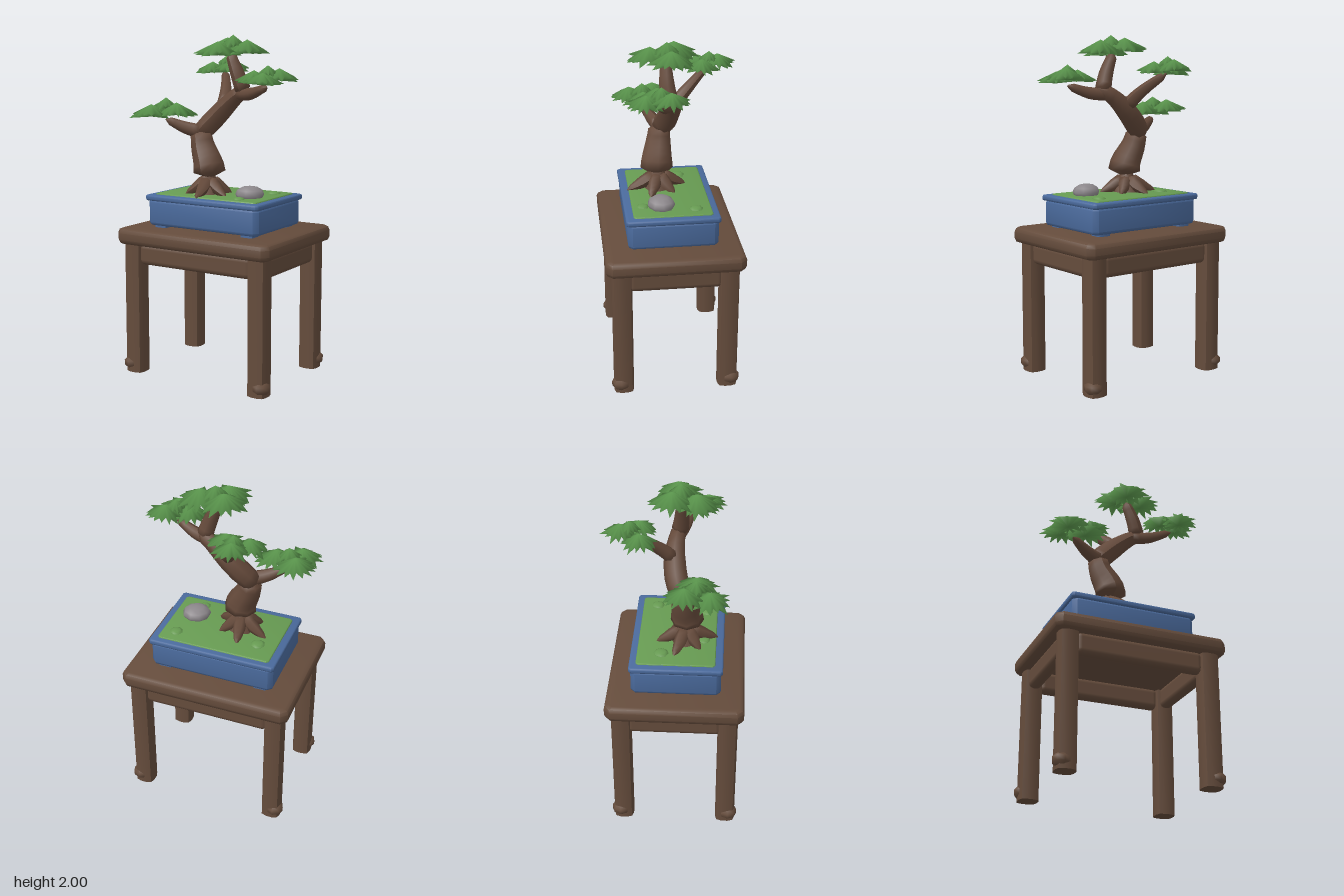
import * as THREE from 'three';
import { toCreasedNormals } from 'three/addons/utils/BufferGeometryUtils.js';
import { RoundedBoxGeometry } from 'three/addons/geometries/RoundedBoxGeometry.js';

const V = (x, y, z) => new THREE.Vector3(x, y, z);

function material(name, color) {
  const m = new THREE.MeshStandardMaterial({ color });
  m.name = name;
  return m;
}

// Small repeatable number generator
let seed = 7;
const rand = () => (seed = (seed * 16807) % 2147483647) / 2147483647;

// Upright slab with cut corners and bevelled edges, standing on y = 0
function slab(w, h, d, corner, bevel = 0, segments = 2) {
  const x = w / 2 - bevel, z = d / 2 - bevel, c = corner;
  const s = new THREE.Shape();
  s.moveTo(-x + c, -z).lineTo(x - c, -z).quadraticCurveTo(x, -z, x, -z + c);
  s.lineTo(x, z - c).quadraticCurveTo(x, z, x - c, z);
  s.lineTo(-x + c, z).quadraticCurveTo(-x, z, -x, z - c);
  s.lineTo(-x, -z + c).quadraticCurveTo(-x, -z, -x + c, -z);
  const g = new THREE.ExtrudeGeometry(s, {
    depth: h - 2 * bevel, curveSegments: segments, bevelEnabled: bevel > 0,
    bevelSize: bevel, bevelThickness: bevel, bevelSegments: 2,
  });
  g.translate(0, 0, bevel).rotateX(-Math.PI / 2);
  return toCreasedNormals(g, 0.85);
}

// Tapering tube: the radii are spread evenly along the path, ends closed
function limb(points, radii, segments = 8, sides = 8) {
  const curve = new THREE.CatmullRomCurve3(points);
  const g = new THREE.TubeGeometry(curve, segments, 1, sides);
  const pos = g.attributes.position, p = V(), c = V();
  for (let i = 0; i < pos.count; i++) {
    const ring = Math.floor(i / (sides + 1)), t = ring / segments;
    const f = t * (radii.length - 1), k = Math.min(Math.floor(f), radii.length - 2);
    const end = ring === 0 || ring === segments;
    const r = end ? 0.004 : THREE.MathUtils.lerp(radii[k], radii[k + 1], f - k);
    curve.getPointAt(t, c);
    p.fromBufferAttribute(pos, i).sub(c).multiplyScalar(r).add(c);
    pos.setXYZ(i, p.x, p.y, p.z);
  }
  g.computeVertexNormals();
  return g;
}

// Star-edged leaf cushion: domed top, drooping points, shallow underside
function leafCushion(radius, height, spikes = 14) {
  const n = spikes * 2, pts = [0, height, 0], idx = [];
  for (let i = 0; i < n; i++) {
    const tip = i % 2 === 0;
    const a = ((i + (rand() - 0.5) * 0.5) / n) * Math.PI * 2;
    const r = radius * (tip ? 0.88 + rand() * 0.22 : 0.64 + rand() * 0.08);
    const y = tip ? -0.005 - rand() * 0.025 : 0.004;
    pts.push(Math.cos(a) * r, y, Math.sin(a) * r);
    const p = 1 + i, q = 1 + ((i + 1) % n);
    idx.push(0, q, p, n + 1, p, q);
  }
  pts.push(0, -0.022, 0);
  const g = new THREE.BufferGeometry();
  g.setAttribute('position', new THREE.Float32BufferAttribute(pts, 3));
  g.setIndex(idx);
  g.computeVertexNormals();
  return g;
}

export function createModel() {
  seed = 7;
  const wood = material('table wood', 0x654c3c);
  const bark = material('bark', 0x64493a);
  const glaze = material('blue glaze', 0x4a6a9c);
  const moss = material('moss', 0x679b52);
  const leaf = material('leaves', 0x5d9a4f);
  const rock = material('stone', 0x8c878b);

  const model = new THREE.Group();
  model.name = 'bonsaiOnTable';
  const group = (name) => {
    const g = new THREE.Group();
    g.name = name;
    model.add(g);
    return g;
  };
  const add = (parent, name, geo, mat, x = 0, y = 0, z = 0) => {
    const m = new THREE.Mesh(geo, mat);
    m.name = name;
    m.position.set(x, y, z);
    parent.add(m);
    return m;
  };
  const corners = [[-1, -1], [1, -1], [-1, 1], [1, 1]];

  // Table
  const table = group('table');
  table.position.set(0.006, 0, 0.002);
  add(table, 'tableTop', slab(1.03, 0.095, 0.795, 0.02, 0.028, 1), wood, 0, 0.78, 0);
  for (const [sx, sz] of corners) {
    add(table, 'leg', slab(0.116, 0.79, 0.116, 0.04), wood, sx * 0.422, 0, sz * 0.307);
    const foot = add(table, 'footKnob', new THREE.SphereGeometry(0.056, 8, 5), wood, sx * 0.445, 0.052, sz * 0.325);
    foot.scale.y = 0.78;
  }
  for (const s of [-1, 1]) {
    add(table, 'longApron', new RoundedBoxGeometry(0.76, 0.13, 0.075, 2, 0.032), wood, 0, 0.725, s * 0.307);
    add(table, 'sideApron', new RoundedBoxGeometry(0.075, 0.13, 0.54, 2, 0.032), wood, s * 0.422, 0.725, 0);
  }

  // Pot
  const pot = group('pot');
  pot.position.set(0.005, 0, 0.005);
  add(pot, 'potBody', slab(0.75, 0.155, 0.515, 0.015, 0.018, 1), glaze, 0, 0.887, 0);
  add(pot, 'potRim', slab(0.77, 0.034, 0.535, 0.008, 0.01, 1), glaze, 0, 1.034, 0);
  for (const [sx, sz] of corners) {
    add(pot, 'potFoot', slab(0.08, 0.022, 0.08, 0.012), glaze, sx * 0.295, 0.873, sz * 0.2);
  }
  add(pot, 'mossBed', slab(0.685, 0.03, 0.452, 0.01, 0.006, 1), moss, 0.001, 1.045, -0.003);
  for (const [x, z, r] of [[-0.23, -0.09, 0.044], [0.26, -0.14, 0.04], [-0.09, 0.15, 0.038], [0.2, 0.16, 0.036]]) {
    add(pot, 'mossMound', new THREE.SphereGeometry(r, 8, 5), moss, x, 1.073, z).scale.y = 0.4;
  }
  const stone = add(pot, 'stone', new THREE.SphereGeometry(0.085, 9, 6), rock, 0.21, 1.092, 0.055);
  stone.scale.set(1, 0.58, 0.92);
  stone.rotation.y = 0.4;

  // Trunk and roots
  const tree = group('tree');
  const root = V(-0.075, 1.14, 0.05);
  add(tree, 'rootFlare', new THREE.CylinderGeometry(0.035, 0.095, 0.13, 8), bark, root.x, 1.125, root.z);
  for (let i = 0; i < 6; i++) {
    const a = 0.35 + (i * Math.PI) / 3, len = 0.165 + 0.03 * Math.sin(i * 2.3);
    const at = (d, y) => V(root.x + Math.cos(a) * d, y, root.z + Math.sin(a) * d);
    add(tree, 'root', limb([at(0.01, 1.16), at(len * 0.5, 1.11), at(len, 1.07)], [0.04, 0.036, 0.014], 6, 6), bark);
  }
  add(tree, 'lowerTrunk', limb(
    [V(-0.06, 1.165, 0.057), V(-0.07, 1.24, 0.055), V(-0.12, 1.35, 0.04), V(-0.145, 1.45, 0.03)],
    [0.1, 0.092, 0.08, 0.068, 0.06], 8), bark);
  add(tree, 'upperTrunk', limb(
    [V(-0.17, 1.4, 0.035), V(-0.09, 1.49, -0.005), V(0.01, 1.59, -0.02), V(0.1, 1.66, -0.01), V(0.17, 1.69, 0)],
    [0.055, 0.066, 0.062, 0.05, 0.036], 10), bark);

  // Branches
  const branches = [
    ['leftBranch', [V(-0.12, 1.43, 0.03), V(-0.22, 1.455, 0.07), V(-0.33, 1.505, 0.12)], [0.045, 0.036, 0.02]],
    ['backBranch', [V(-0.01, 1.57, -0.01), V(-0.055, 1.67, -0.11), V(-0.14, 1.78, -0.24)], [0.045, 0.034, 0.022]],
    ['rightBranch', [V(0.08, 1.66, -0.01), V(0.2, 1.665, 0.03), V(0.335, 1.71, 0.075)], [0.04, 0.034, 0.02]],
    ['topBranch', [V(0.14, 1.66, 0), V(0.105, 1.77, 0.015), V(0.05, 1.9, 0.015)], [0.05, 0.042, 0.028]],
  ];
  for (const [name, path, radii] of branches) add(tree, name, limb(path, radii), bark);

  // Leaf pads: base height, cushion radius, three lower centres and a smaller top one
  const pads = [
    ['leftLeafPad', 1.54, 0.122, [[-0.385, 0.05], [-0.385, 0.19], [-0.255, 0.115], [-0.33, 0.115]]],
    ['backLeafPad', 1.79, 0.104, [[-0.14, -0.305], [-0.205, -0.2], [-0.075, -0.205], [-0.135, -0.255]]],
    ['rightLeafPad', 1.74, 0.112, [[0.38, 0.02], [0.35, 0.155], [0.255, 0.085], [0.335, 0.07]]],
    ['topLeafPad', 1.9, 0.135, [[0.005, -0.035], [0.025, 0.1], [0.155, -0.005], [0.07, 0.01]]],
  ];
  for (const [name, y, r, centres] of pads) {
    const pad = group(name);
    centres.forEach(([x, z], i) => {
      const top = i === 3;
      const lift = top ? 0.05 : [0.03, 0.008, 0.018][i] - 0.004;
      add(pad, 'leafCushion', leafCushion(top ? r * 0.6 : r, top ? r * 0.35 : r * 0.42, top ? 12 : 14), leaf, x, y + lift, z);
    });
  }
  return model;
}
